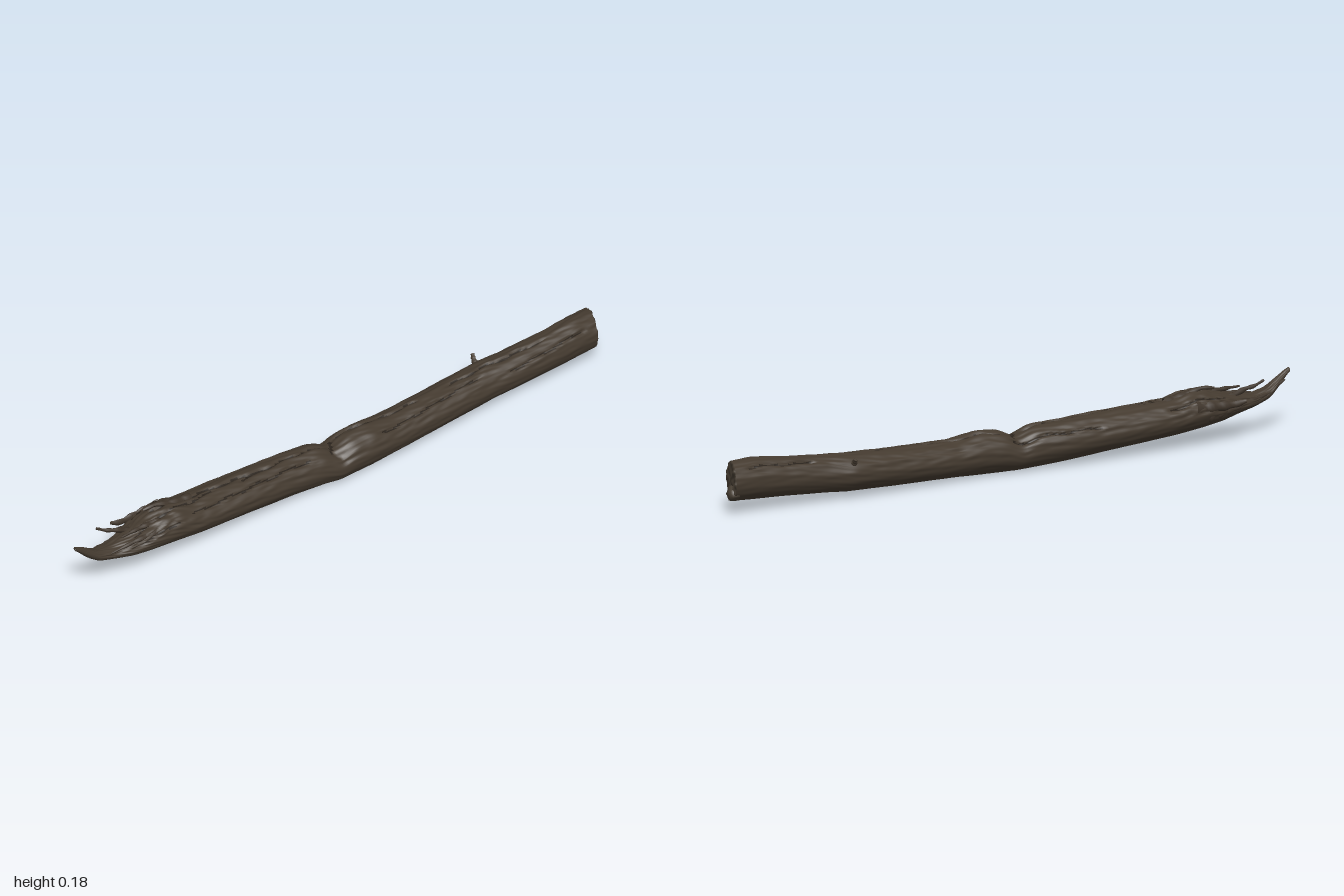
import * as THREE from 'three';

// Log outline along its length: x, bottom, top, back (min z), front (max z)
const SECTIONS = [
  [-1.0, 0.178, 0.190, 0.000, 0.014], [-0.96, 0.135, 0.168, -0.008, 0.020],
  [-0.92, 0.105, 0.140, -0.022, 0.028], [-0.86, 0.088, 0.128, -0.035, 0.035],
  [-0.80, 0.076, 0.138, -0.050, 0.052], [-0.74, 0.065, 0.150, -0.072, 0.058],
  [-0.68, 0.056, 0.168, -0.082, 0.063], [-0.63, 0.050, 0.172, -0.085, 0.065],
  [-0.56, 0.044, 0.156, -0.084, 0.066], [-0.40, 0.032, 0.150, -0.081, 0.066],
  [-0.20, 0.017, 0.142, -0.075, 0.066], [-0.08, 0.009, 0.136, -0.064, 0.073],
  [-0.02, 0.006, 0.110, -0.057, 0.078], [0.03, 0.006, 0.134, -0.054, 0.081],
  [0.10, 0.008, 0.140, -0.052, 0.084], [0.20, 0.013, 0.127, -0.053, 0.080],
  [0.40, 0.018, 0.131, -0.057, 0.072], [0.58, 0.024, 0.140, -0.061, 0.066],
  [0.66, 0.029, 0.144, -0.048, 0.070], [0.80, 0.036, 0.155, -0.040, 0.074],
  [0.90, 0.040, 0.166, -0.037, 0.076], [0.975, 0.044, 0.163, -0.037, 0.076],
];
// Cracks in the bark: start x, end x, angle, drift of the angle
const CRACKS = [
  [-0.80, -0.45, 1.1, 0.35], [-0.72, -0.25, 1.75, -0.3], [-0.60, -0.10, 0.75, 0.2],
  [-0.75, -0.52, 2.3, 0.2], [-0.38, -0.04, 1.35, 0.25], [0.00, 0.32, 1.95, -0.35],
  [0.12, 0.55, 0.85, 0.25], [0.42, 0.80, 1.55, -0.2], [0.62, 0.93, 0.6, 0.15],
  [-0.30, 0.02, 2.6, -0.2], [0.70, 0.94, 2.2, 0.15], [-0.82, -0.62, 0.35, 0.2],
];
const RINGS = 220, SIDES = 96;

function sectionAt(x) {
  const raw = (q) => {
    q = THREE.MathUtils.clamp(q, -1, 0.975);
    let i = 0;
    while (i < SECTIONS.length - 2 && q > SECTIONS[i + 1][0]) i++;
    const a = SECTIONS[i], b = SECTIONS[i + 1], t = (q - a[0]) / (b[0] - a[0]);
    return a.map((v, k) => v + (b[k] - v) * t);
  };
  const a = raw(x - 0.012), b = raw(x), c = raw(x + 0.012);
  return b.map((v, k) => (a[k] + 2 * v + c[k]) / 4);
}

// Depth (0..1) of the cracks at a place on the bark
function crackDepth(x, a) {
  let depth = 0;
  for (const [x0, x1, angle, drift] of CRACKS) {
    const t = (x - x0) / (x1 - x0);
    if (t <= 0 || t >= 1) continue;
    const d = a - angle - drift * t - 0.05 * Math.sin(x * 55 + angle * 9);
    depth = Math.max(depth, Math.exp(-((d / 0.06) ** 2)) * Math.min(1, 5 * Math.sin(Math.PI * t)));
  }
  // split running across the log at the notch
  if (a > 0.3 && a < 2.7) {
    const d = x + 0.02 - 0.012 * Math.sin(a * 4);
    depth = Math.max(depth, 0.8 * Math.exp(-((d / 0.009) ** 2)) * Math.sin(Math.PI * (a - 0.3) / 2.4));
  }
  return depth;
}

function barkPoint(x, a) {
  const [, y0, y1, z0, z1] = sectionAt(x);
  const ry = (y1 - y0) / 2, rz = (z1 - z0) / 2;
  const upper = THREE.MathUtils.smoothstep(Math.sin(a), -0.5, 0.6);
  const torn = THREE.MathUtils.smoothstep(-x, 0.45, 0.75);
  // long wavy ridges, rougher on top and at the torn end
  const ridges = Math.sin(a * 11 + 2 * Math.sin(x * 5)) * Math.sin(x * 13 + a * 2)
    + 0.6 * Math.sin(a * 19 + 3 * Math.sin(x * 9 + 1)) * Math.sin(x * 31 + a * 3);
  const chips = Math.sin(x * 83 + 4 * Math.sin(a * 5)) * Math.sin(a * 9 + x * 21);
  const k = 1 + ridges * (0.008 + 0.02 * upper) + chips * upper * (0.01 + 0.05 * torn)
    - 0.12 * crackDepth(x, a);
  const y = (y0 + y1) / 2 + ry * k * Math.sin(a);
  const z = (z0 + z1) / 2 + rz * k * Math.cos(a);
  // the sawn end is slanted
  const slant = THREE.MathUtils.clamp((x - 0.85) / 0.125, 0, 1);
  return new THREE.Vector3(x - slant * 0.34 * (z - 0.015), y, z);
}

function makeGeometry(points, faceGroups) {
  const g = new THREE.BufferGeometry().setFromPoints(points);
  g.setIndex(faceGroups.flat());
  let start = 0;
  faceGroups.forEach((f, i) => { g.addGroup(start, f.length, i); start += f.length; });
  g.computeVertexNormals();
  return g;
}

function trunkGeometry() {
  const pts = [], bark = [], dark = [];
  for (let i = 0; i <= RINGS; i++) {
    const x = -1 + 1.975 * i / RINGS;
    for (let j = 0; j < SIDES; j++) pts.push(barkPoint(x, -Math.PI / 2 + 2 * Math.PI * j / SIDES));
  }
  for (let i = 0; i < RINGS; i++) for (let j = 0; j < SIDES; j++) {
    const n = (j + 1) % SIDES, a = i * SIDES + j, b = a + SIDES, c = i * SIDES + n, d = c + SIDES;
    const depth = crackDepth(-1 + 1.975 * (i + 0.5) / RINGS, -Math.PI / 2 + 2 * Math.PI * (j + 0.5) / SIDES);
    (depth > 0.6 ? dark : bark).push(a, b, c, b, d, c);
  }
  return makeGeometry(pts, [bark, dark]);
}

// Rough end face made of shrinking rings; dir is +1 for the right-hand face of the log
function endGeometry(x, dir, rough) {
  const scales = [1, 0.94, 0.8, 0.6, 0.4, 0.2, 0.02], pts = [], faces = [];
  const rim = Array.from({ length: SIDES }, (_, j) => barkPoint(x, -Math.PI / 2 + 2 * Math.PI * j / SIDES));
  const mid = rim.reduce((s, p) => s.add(p), new THREE.Vector3()).divideScalar(SIDES);
  scales.forEach((s, r) => rim.forEach((p) => {
    const q = mid.clone().lerp(p, s);
    if (r) q.x += dir * rough * (0.5 + Math.sin(q.y * 110 + 2) * Math.sin(q.z * 130) + 0.4 * Math.sin(q.y * 260 + q.z * 190));
    pts.push(q);
  }));
  for (let r = 0; r < scales.length - 1; r++) for (let j = 0; j < SIDES; j++) {
    const n = (j + 1) % SIDES, a = r * SIDES + j, b = a + SIDES, c = r * SIDES + n, d = c + SIDES;
    if (dir > 0) faces.push(a, b, c, b, d, c);
    else faces.push(a, c, b, b, c, d);
  }
  return makeGeometry(pts, [faces]);
}

// Tapered, slightly flattened shard along a path
function shardGeometry(path, radius, tip = 0.15, flat = 0.6) {
  const curve = new THREE.CatmullRomCurve3(path.map((p) => new THREE.Vector3(...p)));
  const steps = 14, sides = 7;
  const g = new THREE.TubeGeometry(curve, steps, radius, sides, false);
  const pos = g.attributes.position, v = new THREE.Vector3();
  for (let i = 0; i < pos.count; i++) {
    const t = Math.floor(i / (sides + 1)) / steps, c = curve.getPointAt(t);
    const k = (1 + (tip - 1) * t) * (1 + 0.18 * Math.sin(t * 23 + radius * 900));
    v.fromBufferAttribute(pos, i).sub(c);
    pos.setXYZ(i, c.x + v.x * k, c.y + v.y * k, c.z + v.z * k * flat);
  }
  g.computeVertexNormals();
  return g;
}

export function createModel() {
  const group = new THREE.Group();
  const material = (name, color) => Object.assign(new THREE.MeshStandardMaterial({ color }), { name });
  const bark = material('bark', 0x453b30);
  const crack = material('crack', 0x2b241d);
  const wood = material('wood', 0x483f34);
  const shardMat = material('tornWood', 0x40362c);
  shardMat.side = THREE.DoubleSide;
  const add = (name, geometry, mat) => {
    const mesh = new THREE.Mesh(geometry, mat);
    mesh.name = name;
    group.add(mesh);
  };

  add('trunk', trunkGeometry(), [bark, crack]);
  add('sawnEnd', endGeometry(0.975, 1, 0.004), wood);
  add('tornTip', endGeometry(-1, -1, 0.0005), wood);

  // Splinters of the torn end
  const shards = [
    [[[-0.76, 0.125, -0.02], [-0.82, 0.152, -0.025], [-0.85, 0.160, -0.034], [-0.88, 0.176, -0.042]], 0.012, 0.3],
    [[[-0.62, 0.125, -0.070], [-0.70, 0.125, -0.076], [-0.76, 0.125, -0.078], [-0.79, 0.132, -0.084]], 0.022, 0.3],
    [[[-0.66, 0.100, -0.070], [-0.73, 0.105, -0.068], [-0.78, 0.112, -0.070]], 0.020, 0.2],
    [[[-0.54, 0.148, -0.02], [-0.62, 0.164, -0.02], [-0.67, 0.176, -0.025], [-0.71, 0.172, -0.03]], 0.014, 0.3, 1],
    [[[-0.68, 0.145, 0.010], [-0.76, 0.152, 0.012], [-0.83, 0.152, 0.015]], 0.013, 0.2, 0.9],
    [[[-0.70, 0.130, 0.035], [-0.80, 0.132, 0.035], [-0.88, 0.124, 0.030]], 0.012, 0.2, 0.9],
    [[[-0.76, 0.110, -0.030], [-0.85, 0.116, -0.028], [-0.92, 0.128, -0.020]], 0.016, 0.15, 0.9],
    [[[-0.88, 0.112, 0.000], [-0.94, 0.138, -0.006], [-0.975, 0.158, -0.010]], 0.014, 0.2],
  ];
  for (const [path, radius, tip, flat] of shards) add('splinter', shardGeometry(path, radius, tip, flat), shardMat);

  // Broken twig on the back
  add('twigStub', shardGeometry([[0.58, 0.105, -0.035], [0.583, 0.124, -0.054], [0.588, 0.136, -0.066]], 0.011, 0.5, 1), bark);

  // Torn lip at the lower edge of the sawn end
  const lip = new THREE.SphereGeometry(1, 18, 12);
  const lp = lip.attributes.position;
  for (let i = 0; i < lp.count; i++) {
    const x = lp.getX(i), y = lp.getY(i), z = lp.getZ(i), k = 1 + 0.09 * Math.sin(y * 7 + z * 5);
    lp.setXYZ(i, 0.972 + x * 0.026 * k - z * 0.011, 0.068 + y * 0.024 * k, 0.006 + z * 0.032 * k);
  }
  lip.computeVertexNormals();
  add('tornLip', lip, wood);
  return group;
}
